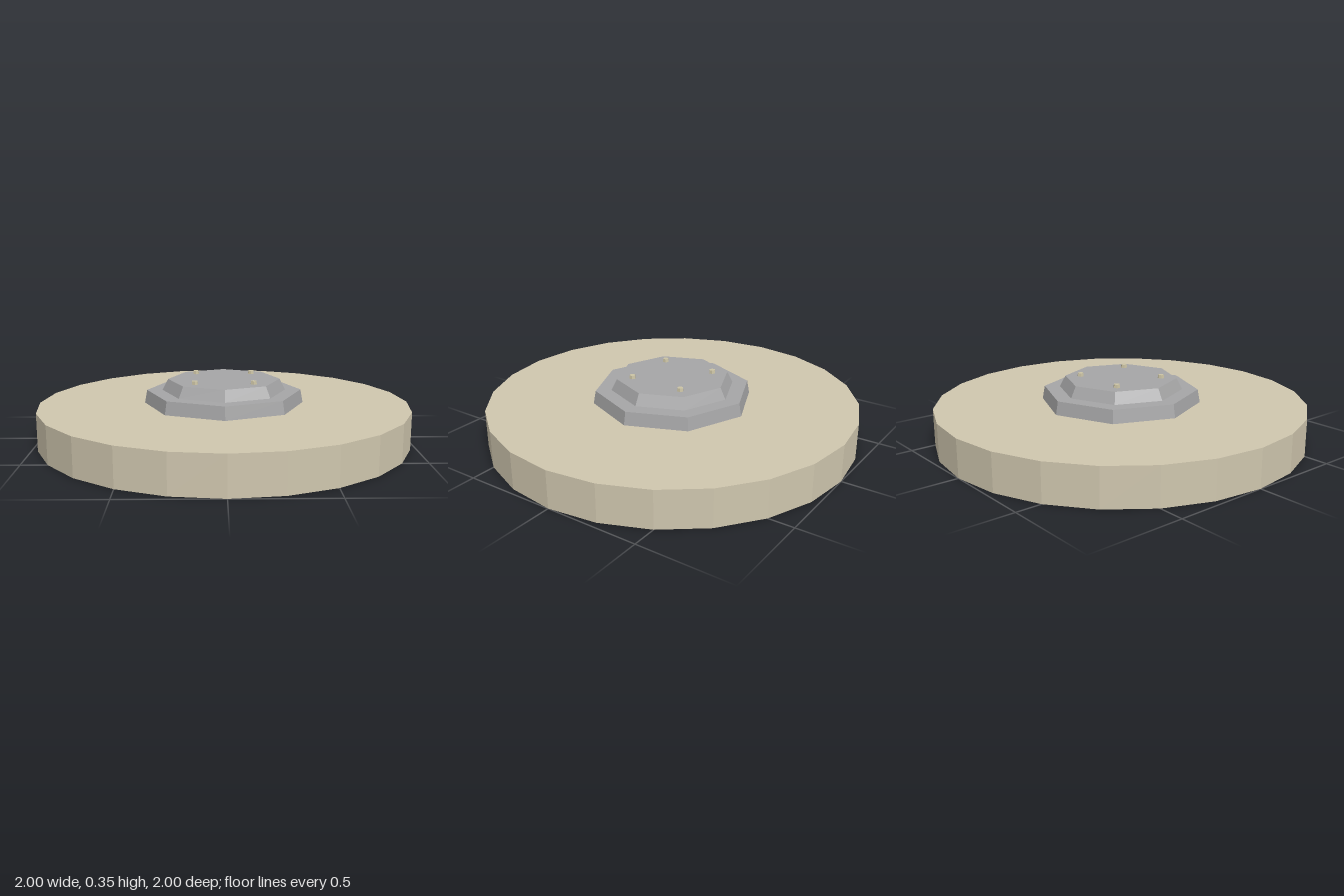
import * as THREE from 'three';

export function createModel() {
  const model = new THREE.Group();
  const material = (name, color) => {
    const m = new THREE.MeshStandardMaterial({ color, flatShading: true });
    m.name = name;
    return m;
  };
  const stone = material('sandstone', 0xcfc6ae);
  const metal = material('grey metal', 0xa5a5a6);
  const brass = material('pale bolt metal', 0xcbc3a4);

  // Faceted disc standing on height y
  const disc = (name, mat, rTop, rBottom, y, height, sides, x = 0, z = 0) => {
    const mesh = new THREE.Mesh(new THREE.CylinderGeometry(rTop, rBottom, height, sides), mat);
    mesh.name = name;
    mesh.position.set(x, y + height / 2, z);
    model.add(mesh);
  };

  // Round plinth and stepped octagonal mount
  disc('base', stone, 1, 1, 0, 0.2, 24);
  disc('lowerPlate', metal, 0.417, 0.43, 0.2, 0.07, 8);
  disc('upperPlate', metal, 0.302, 0.333, 0.27, 0.06, 8);

  // Four bolts on the upper plate
  for (const x of [-0.154, 0.154])
    for (const z of [-0.154, 0.154])
      disc('bolt', brass, 0.016, 0.018, 0.33, 0.018, 6, x, z);

  return model;
}
